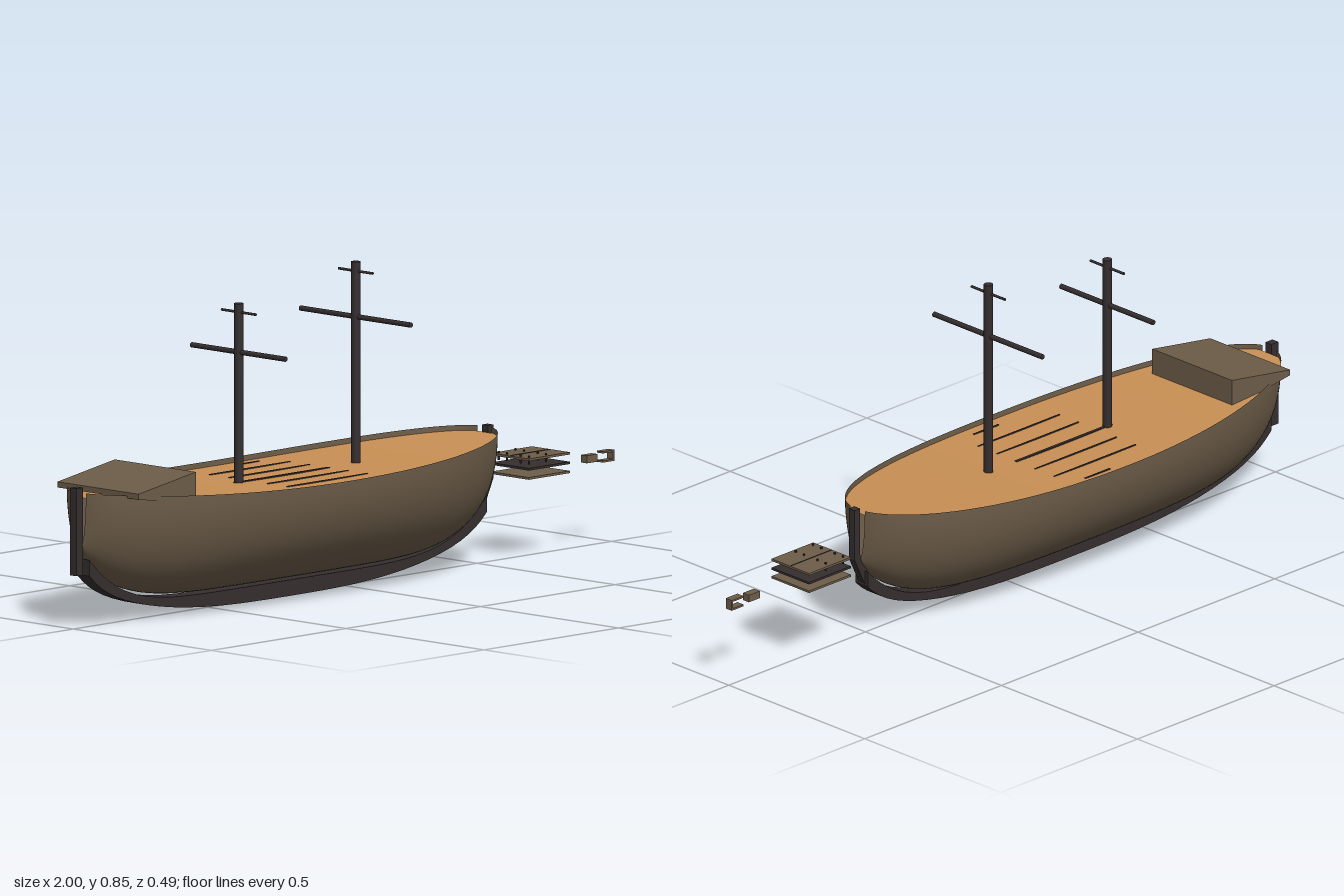
import * as THREE from 'three';
import { ParametricGeometry } from 'three/addons/geometries/ParametricGeometry.js';

const CX = -0.225, HALF = 0.757;

// Hull lines, as functions of t = -1 (stern) .. 1 (bow)
const beam = t => 0.243 * Math.sqrt(1 - Math.pow(Math.abs(t), t < 0 ? 2.1 : 2.3));
const sheer = t => 0.327 + 0.03 * t * t;
const bilge = t => 0.05 + 0.16 * Math.pow(Math.abs(t), 6);
const keelLine = t => 0.11 * Math.pow(Math.abs(t), 3) + 0.05 * Math.pow(Math.abs(t), 14);
const station = u => -Math.cos(Math.PI * u) * 0.995;

export function createModel() {
  const model = new THREE.Group();
  const material = (name, color, side = THREE.FrontSide) => {
    const m = new THREE.MeshStandardMaterial({ color, side });
    m.name = name;
    return m;
  };
  const hullWood = material('hull brown', 0x6d5d49, THREE.DoubleSide);
  const deckWood = material('deck tan', 0xc88f54, THREE.DoubleSide);
  const darkWood = material('dark wood', 0x352e2f);

  const add = (name, geometry, mat, x = 0, y = 0, z = 0) => {
    const mesh = new THREE.Mesh(geometry, mat);
    mesh.name = name;
    mesh.position.set(x, y, z);
    model.add(mesh);
    return mesh;
  };
  // Box given by its extents
  const box = (name, mat, x0, x1, y0, y1, z0, z1) =>
    add(name, new THREE.BoxGeometry(x1 - x0, y1 - y0, z1 - z0), mat,
      (x0 + x1) / 2, (y0 + y1) / 2, (z0 + z1) / 2);
  // Side profile extruded evenly about z = 0
  const slab = (name, points, width, mat) => {
    const shape = new THREE.Shape(points.map(p => new THREE.Vector2(...p)));
    const geo = new THREE.ExtrudeGeometry(shape, { depth: width, bevelEnabled: false });
    return add(name, geo.translate(0, 0, -width / 2), mat);
  };

  // Hull shell: half-ellipse sections, open at both tips
  const hull = new ParametricGeometry((u, v, p) => {
    const t = station(u), a = Math.PI * v;
    p.set(CX + HALF * t, sheer(t) - (sheer(t) - bilge(t)) * Math.sin(a), -beam(t) * Math.cos(a));
  }, 64, 40);
  hull.computeVertexNormals();
  add('hull', hull, hullWood);

  // Deck just below the rim
  const deck = new ParametricGeometry((u, v, p) => {
    const t = station(u) * 0.995;
    p.set(CX + HALF * t, sheer(t) - 0.014, 0.99 * beam(t) * (1 - 2 * v));
  }, 48, 4);
  deck.computeVertexNormals();
  add('deck', deck, deckWood);

  // Deck seams
  for (const z of [-0.14, -0.07, 0, 0.07, 0.14]) {
    const w = z === 0 ? 0.004 : 0.0015;
    box('deckSeam', darkWood, z === 0 ? -0.4 : -0.35, -0.05, 0.312, 0.3165, z - w, z + w);
  }
  for (const z of [-0.205, 0.205]) {
    box('sideSeam', darkWood, -0.19, -0.1, 0.312, 0.316, z - 0.002, z + 0.002);
  }

  // Keel, curving up beneath the hull with a slight gap
  const lower = [], upper = [];
  for (let i = 0; i <= 36; i++) {
    const t = -Math.cos(Math.PI * i / 36) * 0.975, x = CX + HALF * t;
    lower.push([x, keelLine(t)]);
    upper.unshift([x, bilge(t) - 0.008]);
  }
  slab('keel', [...lower, ...upper], 0.047, darkWood);

  // Stem and stern posts
  slab('stemPost', [[0.512, 0.14], [0.55, 0.22], [0.55, 0.36], [0.53, 0.36], [0.53, 0.23], [0.505, 0.18]],
    0.022, darkWood);
  box('sternPost', darkWood, -1, -0.975, 0.14, 0.37, -0.011, 0.011);

  // Sloping stern cabin
  slab('sternCabin', [[-0.908, 0.345], [-0.695, 0.315], [-0.695, 0.394], [-0.908, 0.36]], 0.294, hullWood);

  // Masts, each with a long lower yard and a short upper yard
  const masts = [
    { x: 0.05, top: 0.845, yards: [[0.7, 0.2, 0.007], [0.82, 0.062, 0.0035]] },
    { x: -0.385, top: 0.785, yards: [[0.657, 0.17, 0.007], [0.762, 0.062, 0.0035]] },
  ];
  for (const { x, top, yards } of masts) {
    add('mast', new THREE.CylinderGeometry(0.0125, 0.0125, top - 0.28, 16), darkWood, x, (top + 0.28) / 2);
    for (const [y, half, r] of yards) {
      add('yard', new THREE.CylinderGeometry(r, r, half * 2, 12), darkWood, x, y).rotation.x = Math.PI / 2;
    }
  }

  // Loose stacked hatch panels ahead of the bow
  for (const [y, mat] of [[0.265, hullWood], [0.24, darkWood], [0.216, hullWood]]) {
    box('hatchPanel', mat, 0.622, 0.775, y - 0.003, y + 0.003, -0.069, 0.069);
  }
  for (const x of [0.637, 0.7]) {
    for (const z of [-0.055, -0.025, 0.025, 0.055]) {
      box('hatchPeg', darkWood, x - 0.002, x + 0.002, 0.25, 0.273, z - 0.002, z + 0.002);
    }
  }
  box('hatchSeam', darkWood, 0.625, 0.772, 0.268, 0.2695, -0.001, 0.001);

  // Small block and open bracket
  box('smallBlock', hullWood, 0.897, 0.937, 0.218, 0.238, -0.011, 0.011);
  box('bracketTop', hullWood, 0.957, 1, 0.237, 0.242, -0.011, 0.011);
  box('bracketBottom', hullWood, 0.957, 1, 0.213, 0.218, -0.011, 0.011);
  box('bracketBack', hullWood, 0.995, 1, 0.218, 0.237, -0.011, 0.011);

  return model;
}
